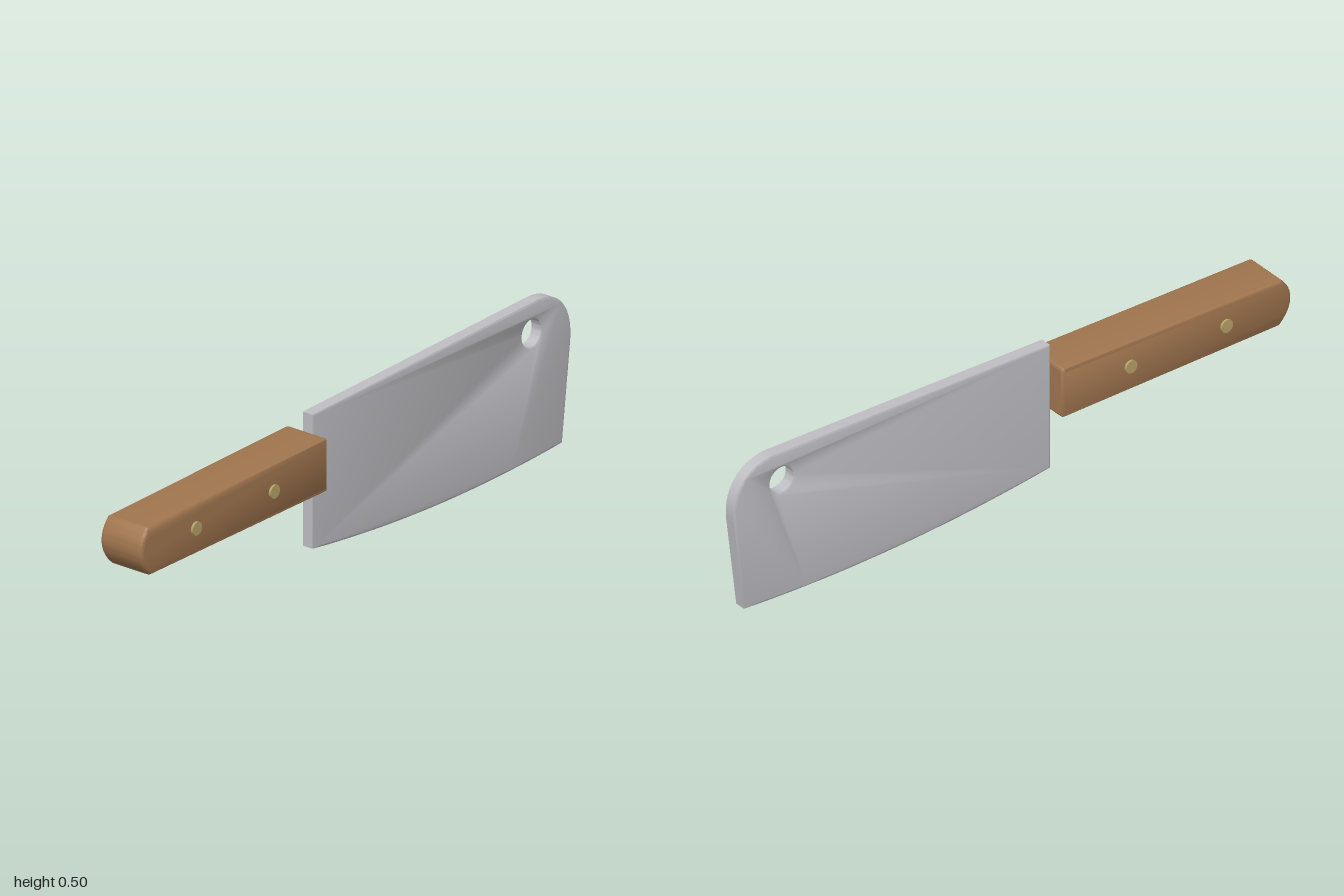
import * as THREE from 'three';
import { toCreasedNormals } from 'three/addons/utils/BufferGeometryUtils.js';

const steel = new THREE.MeshStandardMaterial({ color: 0xbebec3 });
steel.name = 'steel';
const wood = new THREE.MeshStandardMaterial({ color: 0xa0754e });
wood.name = 'wood';
const brass = new THREE.MeshStandardMaterial({ color: 0xb8a268 });
brass.name = 'brass';

// Extrudes a side profile to a full thickness centred on z = 0, bevel kept inside the outline
function slab(shape, thickness, bevelSize, bevelThickness, bevelSegments) {
  const depth = thickness - 2 * bevelThickness;
  const geometry = new THREE.ExtrudeGeometry(shape, {
    depth, bevelEnabled: true, bevelSize, bevelThickness, bevelSegments,
    bevelOffset: -bevelSize, curveSegments: 20,
  });
  geometry.translate(0, 0, -depth / 2);
  return toCreasedNormals(geometry, 0.6);
}

function addMesh(group, name, geometry, material) {
  const mesh = new THREE.Mesh(geometry, material);
  mesh.name = name;
  group.add(mesh);
  return mesh;
}

export function createModel() {
  const model = new THREE.Group();
  model.name = 'cleaver';

  // Blade: bowed cutting edge, slanted tip, rounded top corner, hanging hole
  const blade = new THREE.Shape();
  blade.moveTo(-0.16, 0.05);
  blade.bezierCurveTo(0.2, 0.0, 0.58, -0.015, 0.96, 0.013);
  blade.lineTo(0.997, 0.32);
  blade.bezierCurveTo(1.008, 0.42, 0.95, 0.502, 0.84, 0.496);
  blade.lineTo(-0.16, 0.47);
  blade.closePath();
  const hole = new THREE.Path();
  hole.absarc(0.823, 0.4, 0.044, 0, Math.PI * 2, true);
  blade.holes.push(hole);
  addMesh(model, 'blade', slab(blade, 0.042, 0.006, 0.003, 1), steel);

  // Handle: slightly tapered with a bowed butt and softened edges
  const handle = new THREE.Shape();
  handle.moveTo(-0.955, 0.246);
  handle.lineTo(-0.17, 0.246);
  handle.quadraticCurveTo(-0.16, 0.246, -0.16, 0.256);
  handle.lineTo(-0.16, 0.402);
  handle.quadraticCurveTo(-0.16, 0.413, -0.17, 0.413);
  handle.lineTo(-0.965, 0.398);
  handle.bezierCurveTo(-1.012, 0.355, -1.012, 0.295, -0.955, 0.246);
  addMesh(model, 'handle', slab(handle, 0.156, 0.012, 0.012, 4), wood);

  // Rivets through the handle
  for (const x of [-0.757, -0.407]) {
    const rivet = addMesh(model, 'rivet', new THREE.CylinderGeometry(0.021, 0.021, 0.171, 20), brass);
    rivet.rotation.x = Math.PI / 2;
    rivet.position.set(x, 0.329, 0);
  }

  return model;
}
